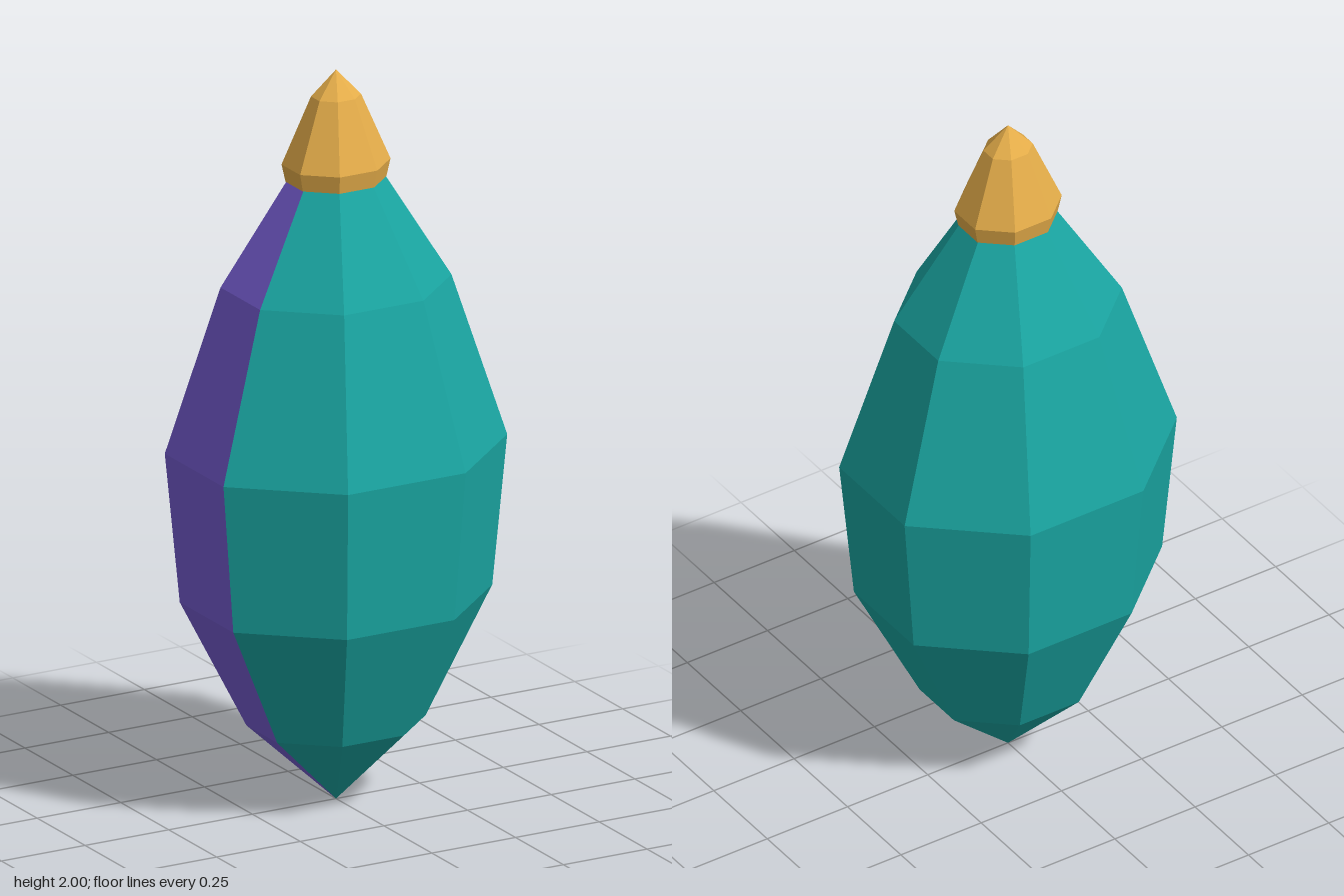
import * as THREE from 'three';

const SIDES = 8;
const STEP = (Math.PI * 2) / SIDES;
const DEPTH = 0.872; // slightly flattened front to back

const teal = new THREE.MeshStandardMaterial({ color: 0x1aa6a2 });
teal.name = 'teal';
const purple = new THREE.MeshStandardMaterial({ color: 0x755cd0 });
purple.name = 'purple';
const gold = new THREE.MeshStandardMaterial({ color: 0xe6ae4a });
gold.name = 'gold';

// Profiles as [distance from axis to the flat of a facet, height], bottom to top
const BODY = [[0, 0], [0.222, 0.215], [0.387, 0.563], [0.424, 0.973], [0.286, 1.42], [0.122, 1.702]];
const CAP = [[0, 1.7], [0.125, 1.7], [0.135, 1.748], [0.062, 1.93], [0, 2]];

// Revolves a profile over a run of flat facets; facet 0 faces +z, facet 2 faces +x
function facets(name, profile, first, count, material) {
  const points = profile.map(([r, y]) => new THREE.Vector2(r / Math.cos(STEP / 2), y));
  const lathe = new THREE.LatheGeometry(points, count, (first - 0.5) * STEP, count * STEP);
  lathe.scale(1, 1, DEPTH);
  const geometry = lathe.toNonIndexed();
  geometry.computeVertexNormals();
  const mesh = new THREE.Mesh(geometry, material);
  mesh.name = name;
  return mesh;
}

export function createModel() {
  const model = new THREE.Group();
  model.name = 'facetedBauble';
  // One full-height facet on the -x side is purple, the other seven are teal
  model.add(facets('body', BODY, 7, SIDES - 1, teal));
  model.add(facets('accentFacet', BODY, 6, 1, purple));
  model.add(facets('cap', CAP, 0, SIDES, gold));
  return model;
}
